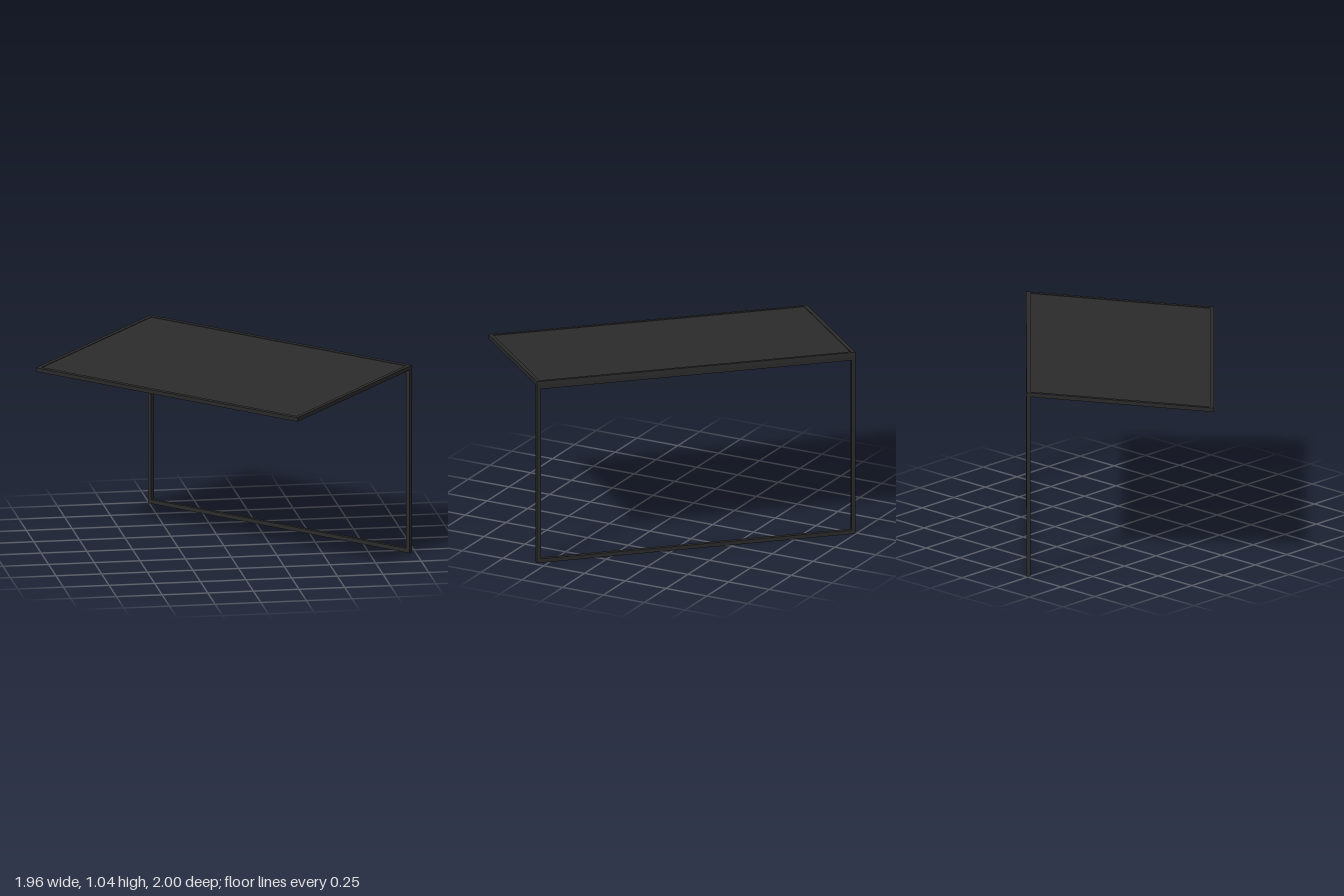
import * as THREE from 'three';

const LENGTH = 1.784; // along the support frame
const DEPTH = 1.019; // along the sloping top
const BAR = 0.0225; // square bar thickness
const BACK = -0.508; // rear plane of the table
const SLOPE = 0.0867; // downward tilt of the top

export function createModel() {
  const model = new THREE.Group();
  model.name = 'cantileverTable';
  const frameMaterial = new THREE.MeshStandardMaterial({ color: 0x2b2b2b });
  const panelMaterial = new THREE.MeshStandardMaterial({ color: 0x2b2b2b });

  const addBox = (parent, name, size, position, material = frameMaterial) => {
    const mesh = new THREE.Mesh(new THREE.BoxGeometry(...size), material);
    mesh.name = name;
    mesh.position.set(...position);
    parent.add(mesh);
  };

  // Upright rectangular frame under the rear edge
  const support = new THREE.Group();
  support.name = 'supportFrame';
  const railZ = BACK + BAR / 2;
  addBox(support, 'floorRail', [LENGTH, BAR, BAR], [0, BAR / 2, railZ]);
  addBox(support, 'upperRail', [LENGTH, BAR, BAR], [0, 1.0 + BAR / 2, railZ]);
  for (const [side, name] of [[-1, 'rightPost'], [1, 'leftPost']]) {
    addBox(support, name, [BAR, 1.0 - BAR, BAR], [side * (LENGTH - BAR) / 2, (1.0 + BAR) / 2, railZ]);
  }
  model.add(support);

  // Sloping top, hinged on its upper rear edge
  const top = new THREE.Group();
  top.name = 'tableTop';
  top.position.set(0, 1.045, BACK);
  top.rotation.x = SLOPE;
  const midY = -BAR / 2;
  for (const [z, name] of [[BAR / 2, 'rearRim'], [DEPTH - BAR / 2, 'frontRim']]) {
    addBox(top, name, [LENGTH, BAR, BAR], [0, midY, z]);
  }
  for (const [side, name] of [[-1, 'rightRim'], [1, 'leftRim']]) {
    addBox(top, name, [BAR, BAR, DEPTH - 2 * BAR], [side * (LENGTH - BAR) / 2, midY, DEPTH / 2]);
  }
  // Panel set slightly below the rim
  addBox(top, 'panel', [LENGTH - 2 * BAR, BAR - 0.006, DEPTH - 2 * BAR], [0, midY, DEPTH / 2], panelMaterial);
  model.add(top);

  // Turn the whole table diagonally
  model.rotation.y = -0.817;
  const root = new THREE.Group();
  root.name = 'table';
  root.add(model);
  return root;
}
